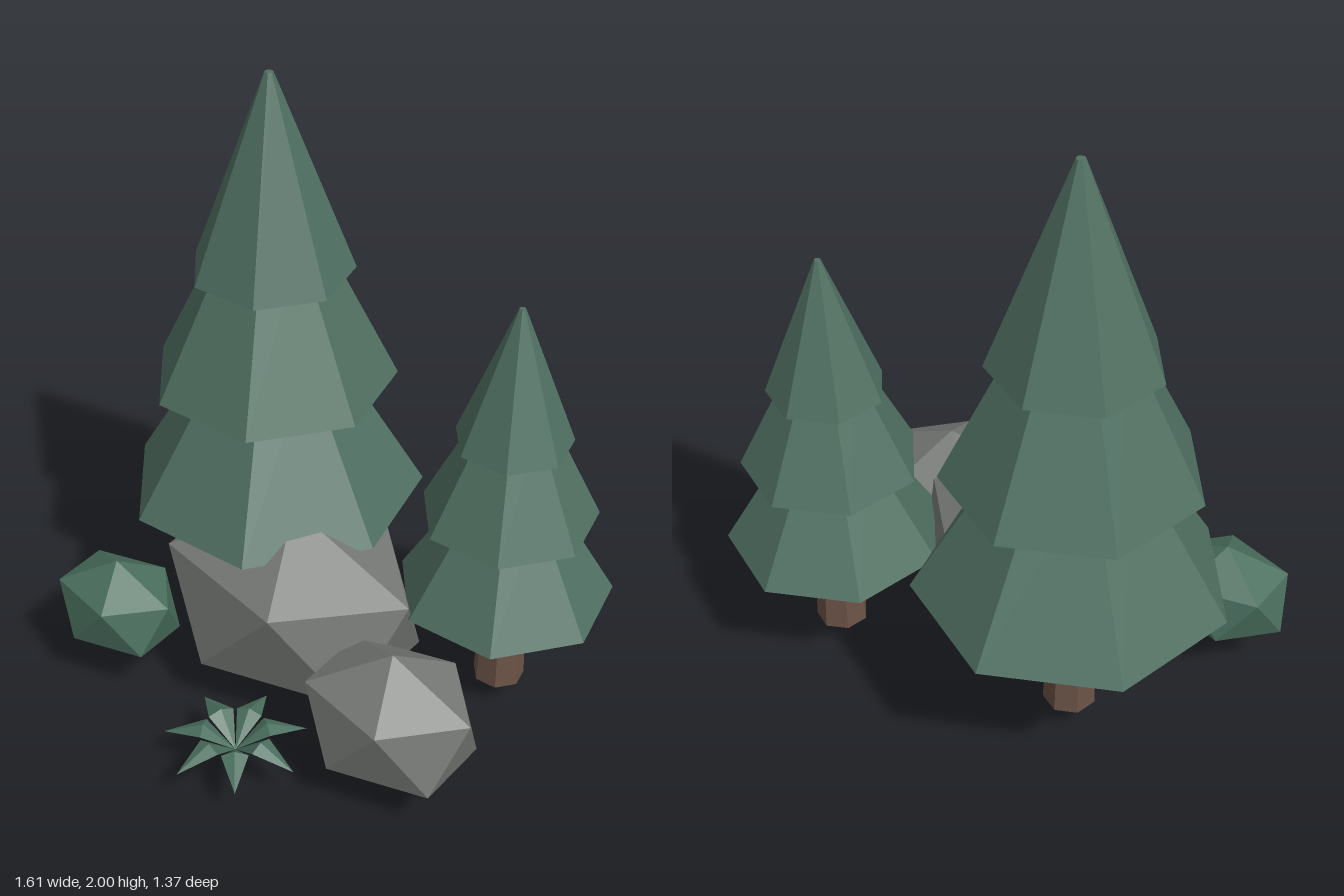
import * as THREE from 'three';

const flat = (name, color, extra = {}) => {
  const m = new THREE.MeshStandardMaterial({ color, flatShading: true, ...extra });
  m.name = name;
  return m;
};

export function createModel() {
  const mats = {
    needles: flat('pine green', 0x507062),
    bark: flat('bark brown', 0x6b5346),
    stone: flat('stone grey', 0x767976),
    bush: flat('bush green', 0x4a6f5e),
    fern: flat('fern green', 0x4a6f5e, { side: THREE.DoubleSide }),
  };
  const model = new THREE.Group();
  model.name = 'forestCluster';

  const add = (parent, name, geometry, material, x = 0, y = 0, z = 0) => {
    const mesh = new THREE.Mesh(geometry, material);
    mesh.name = name;
    mesh.position.set(x, y, z);
    parent.add(mesh);
    return mesh;
  };

  // Seven-sided frustum standing on y, one corner towards the back
  const frustum = (rTop, rBottom, y0, y1) =>
    new THREE.CylinderGeometry(rTop, rBottom, y1 - y0, 7)
      .rotateY(Math.PI).translate(0, (y0 + y1) / 2, 0);

  // Pine: trunk and three overlapping skirts; s scales the foliage
  const pine = (name, x, z, s) => {
    const tree = new THREE.Group();
    tree.name = name;
    tree.position.set(x, 0.09, z);
    add(tree, 'trunk', frustum(0.062, 0.083, 0, 0.6 * s), mats.bark);
    const tiers = [
      // top radius, bottom radius, bottom, top
      [0.166, 0.48, 0.48, 1.01],
      [0.137, 0.39, 0.89, 1.41],
      [0.014, 0.257, 1.27, 1.91],
    ];
    tiers.forEach((t, i) =>
      add(tree, `foliageTier${i + 1}`, frustum(...t.map((v) => v * s)), mats.needles));
    model.add(tree);
  };
  pine('largePine', -0.34, -0.21, 1);
  pine('smallPine', 0.471, -0.33, 0.713);

  // Faceted lumps: icosahedra with a corner straight up, stretched per axis
  const tilt = Math.atan(2 / (1 + Math.sqrt(5)));
  const lump = (name, material, [x, y, z], [rx, ry, rz]) => {
    const g = new THREE.IcosahedronGeometry(1, 0).rotateZ(-tilt).scale(rx, ry, rz);
    g.computeVertexNormals();
    add(model, name, g, material, x, y, z);
  };
  lump('largeBoulder', mats.stone, [-0.105, 0.343, -0.005], [0.491, 0.341, 0.365]);
  lump('smallBoulder', mats.stone, [0.427, 0.272, 0.212], [0.313, 0.238, 0.248]);
  lump('bush', mats.bush, [-0.576, 0.275, 0.308], [0.233, 0.172, 0.181]);

  // Fern: seven ridged leaves that rise from the centre and droop at the tips
  const B = [0, 0, 0], M = [0.1, 0.085, 0], T = [0.225, 0.035, 0];
  const L = [0.1, 0.07, -0.042], R = [0.1, 0.07, 0.042];
  const leaf = new THREE.BufferGeometry();
  leaf.setAttribute('position', new THREE.Float32BufferAttribute(
    [B, R, M, R, T, M, B, M, L, M, T, L].flat(), 3));
  leaf.computeVertexNormals();
  const fern = new THREE.Group();
  fern.name = 'fern';
  fern.position.set(0.025, 0.095, 0.465);
  for (let i = 0; i < 7; i++) {
    add(fern, `leaf${i + 1}`, leaf, mats.fern).rotation.y = (i / 7) * Math.PI * 2;
  }
  model.add(fern);

  return model;
}
